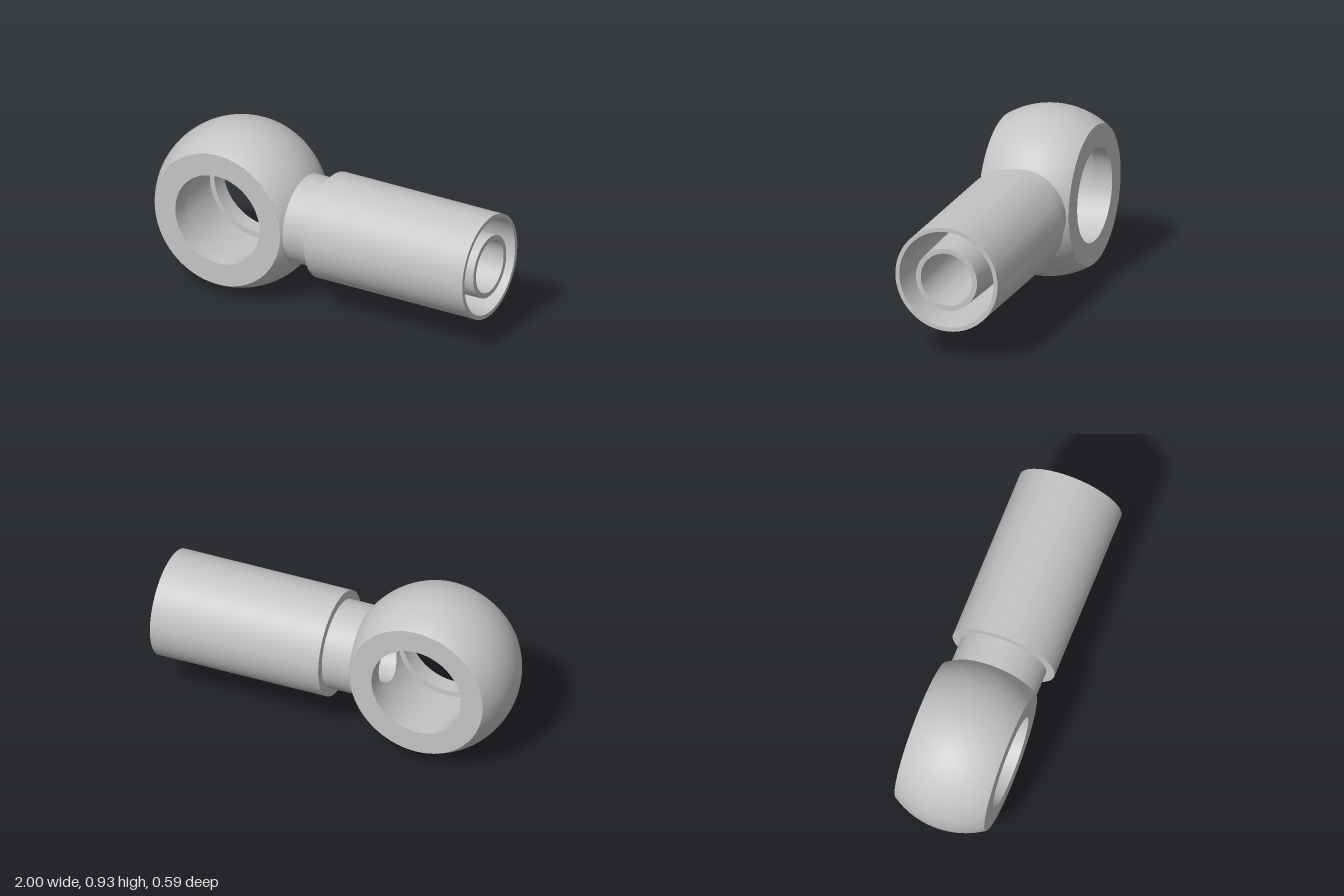
import * as THREE from 'three';
import { mergeGeometries } from 'three/addons/utils/BufferGeometryUtils.js';

const EYE_X = -0.535, AXIS_Y = 0.467;
const BALL_R = 0.465, HALF_W = 0.258, BORE_R = 0.26;
const GROOVE_R = 0.29, GROOVE_W = 0.16, PASSAGE_R = 0.147;

// One lathe per profile segment, so every profile corner stays sharp
function sharpLathe(points, segments = 96) {
  const parts = [];
  for (let i = 0; i < points.length - 1; i++) {
    const pair = [points[i], points[i + 1]].map(([r, h]) => new THREE.Vector2(r, h));
    parts.push(new THREE.LatheGeometry(pair, segments));
  }
  return mergeGeometries(parts);
}

// Surface of revolution about z, r(z), for |z| <= w, with a round hole on its +x side.
// side = 1 faces outward, -1 faces inward.
function holedBand(r, w, holeR, phi0, side) {
  // plain band around the rest of the turn
  const profile = [];
  for (let i = 0; i <= 32; i++) {
    const z = side * w * (i / 16 - 1);
    profile.push(new THREE.Vector2(r(z), z));
  }
  const band = new THREE.LatheGeometry(profile, 96, Math.PI / 2 + phi0, 2 * (Math.PI - phi0));
  band.rotateX(Math.PI / 2);

  // patch blending from the round hole to the edges of the gap
  const n = 128, m = 16, pos = [], nor = [], uv = [], index = [];
  for (let j = 0; j <= m; j++) {
    for (let i = 0; i <= n; i++) {
      const t = (i / n) * Math.PI * 2, c = Math.cos(t), s = Math.sin(t);
      const k = 1 / Math.max(Math.abs(c), Math.abs(s));
      const zHole = holeR * s, phiHole = Math.asin(holeR * c / r(zHole));
      const phi = THREE.MathUtils.lerp(phiHole, phi0 * c * k, j / m);
      const z = THREE.MathUtils.lerp(zHole, w * s * k, j / m);
      const slope = (r(z + 1e-4) - r(z - 1e-4)) / 2e-4;
      const normal = new THREE.Vector3(Math.cos(phi), Math.sin(phi), -slope).normalize().multiplyScalar(side);
      pos.push(r(z) * Math.cos(phi), r(z) * Math.sin(phi), z);
      nor.push(normal.x, normal.y, normal.z);
      uv.push(i / n, j / m);
      if (j < m && i < n) {
        const a = j * (n + 1) + i, b = a + n + 1;
        if (side > 0) index.push(a, b, b + 1, a, b + 1, a + 1);
        else index.push(a, b + 1, b, a, a + 1, b + 1);
      }
    }
  }
  const patch = new THREE.BufferGeometry();
  patch.setAttribute('position', new THREE.Float32BufferAttribute(pos, 3));
  patch.setAttribute('normal', new THREE.Float32BufferAttribute(nor, 3));
  patch.setAttribute('uv', new THREE.Float32BufferAttribute(uv, 2));
  patch.setIndex(index);
  return mergeGeometries([band, patch]);
}

export function createModel() {
  const model = new THREE.Group();
  model.name = 'hoseFitting';
  const steel = new THREE.MeshStandardMaterial({ color: 0xc4c4c4 });
  steel.name = 'steel';
  const add = (parent, name, geometry) => {
    const mesh = new THREE.Mesh(geometry, steel);
    mesh.name = name;
    parent.add(mesh);
  };

  // Ball eye with flat faces, axis along z
  const eye = new THREE.Group();
  eye.name = 'eye';
  eye.position.set(EYE_X, AXIS_Y, 0);
  model.add(eye);
  const ballRadius = z => Math.sqrt(BALL_R * BALL_R - z * z);
  add(eye, 'ball', holedBand(ballRadius, HALF_W, 0.2, 0.75, 1));

  // Flat face, bore lip and groove shoulder, front and back
  const flatR = ballRadius(HALF_W);
  for (const [name, turn] of [['frontLip', 1], ['backLip', -1]]) {
    const lip = sharpLathe([[flatR, HALF_W], [BORE_R, HALF_W], [BORE_R, GROOVE_W], [GROOVE_R, GROOVE_W]]);
    add(eye, name, lip.rotateX(turn * Math.PI / 2));
  }
  // Wider groove inside the bore, open to the passage
  add(eye, 'boreGroove', holedBand(() => GROOVE_R, GROOVE_W, PASSAGE_R, 0.8, -1));

  // Neck, sleeve, hose cavity and nipple, axis along x
  const shank = new THREE.Group();
  shank.name = 'shank';
  shank.position.y = AXIS_Y;
  model.add(shank);
  const turned = points => sharpLathe(points).rotateZ(-Math.PI / 2);
  add(shank, 'neck', turned([[0.245, -0.17], [0.245, 0.02]]));
  add(shank, 'sleeve', turned([
    [0.245, 0.02], [0.293, 0.02], [0.293, 1], [0.27, 1], [0.242, 0.12], [0.192, 0.12],
  ]));
  add(shank, 'nipple', turned([[0.192, 0.12], [0.175, 1], [PASSAGE_R, 1]]));

  // Passage whose inner end follows the curve of the groove
  const passage = turned([[PASSAGE_R, 1], [PASSAGE_R, -0.3]]);
  const p = passage.attributes.position;
  for (let i = 0; i < p.count; i++) {
    if (p.getX(i) < 0) p.setX(i, EYE_X + Math.sqrt(GROOVE_R ** 2 - p.getY(i) ** 2));
  }
  add(shank, 'passage', passage);

  return model;
}
